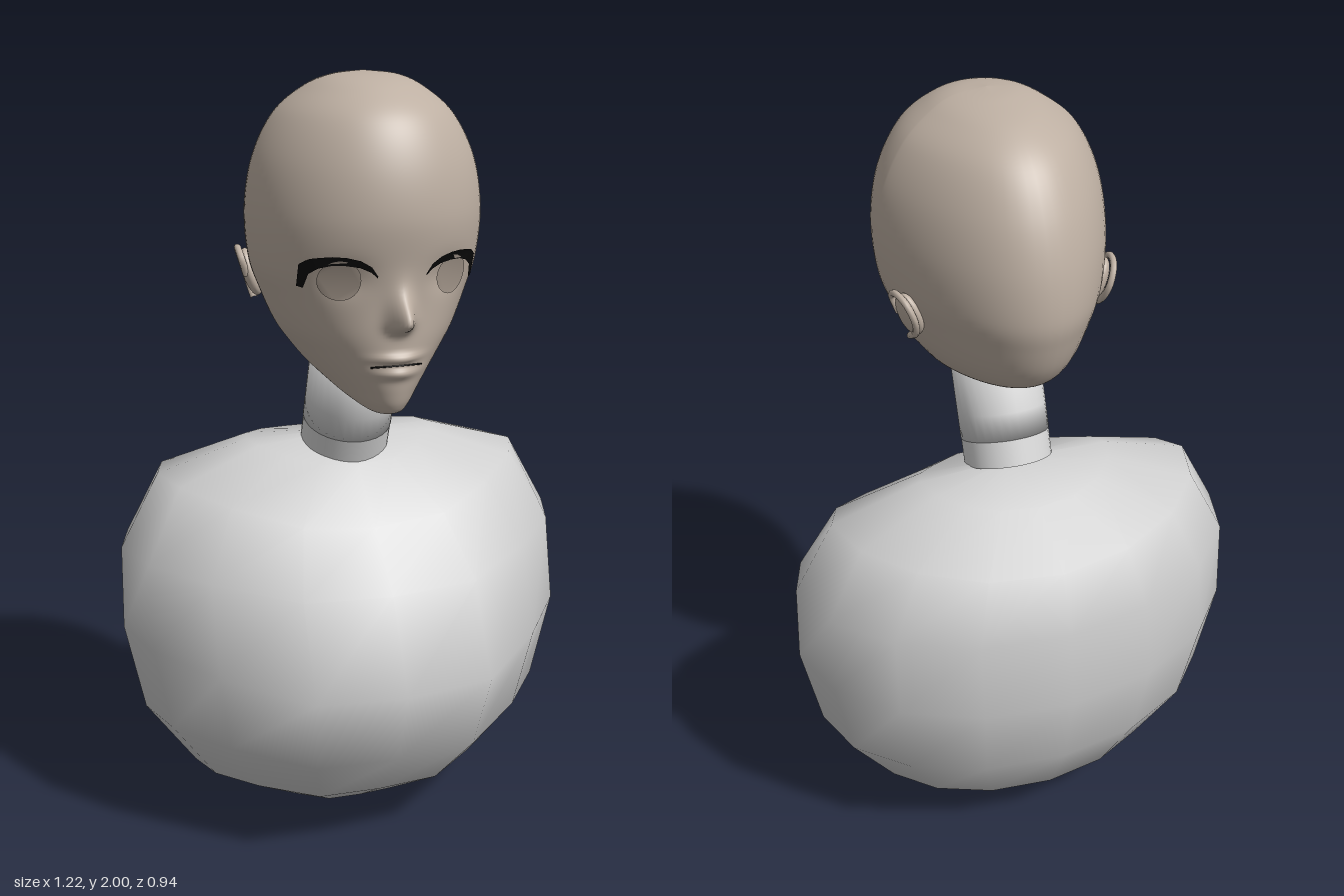
import * as THREE from 'three';

const mat = (name, color, side = THREE.FrontSide) => {
  const m = new THREE.MeshStandardMaterial({ color, side });
  m.name = name;
  return m;
};

function part(parent, name, geometry, material) {
  const m = new THREE.Mesh(geometry, material);
  m.name = name;
  parent.add(m);
  return m;
}

// Closed surface from rings listed top to bottom; fn(row, column) gives a point
function ringSurface(rows, cols, fn) {
  const pos = [], idx = [];
  for (let r = 0; r <= rows; r++) {
    for (let c = 0; c < cols; c++) {
      pos.push(...fn(r, c));
      if (r === rows) continue;
      const n = (c + 1) % cols, a = r * cols + c, b = r * cols + n;
      idx.push(a, a + cols, b, b, a + cols, b + cols);
    }
  }
  const g = new THREE.BufferGeometry();
  g.setAttribute('position', new THREE.Float32BufferAttribute(pos, 3));
  g.setIndex(idx);
  g.computeVertexNormals();
  return g;
}

// Torso rings: y at side, front, back; half width; z at side, front, back
const TORSO = [
  [1.055, 1.055, 1.055, 0, -0.05, -0.05, -0.05],
  [1.05, 1.0, 1.02, 0.26, -0.06, 0.1, -0.24],
  [0.98, 0.87, 0.91, 0.5, -0.06, 0.23, -0.39],
  [0.79, 0.73, 0.75, 0.605, -0.05, 0.36, -0.44],
  [0.57, 0.5, 0.55, 0.61, -0.04, 0.47, -0.475],
  [0.33, 0.3, 0.33, 0.56, -0.04, 0.41, -0.43],
  [0.15, 0.14, 0.15, 0.43, -0.03, 0.27, -0.335],
  [0.045, 0.04, 0.045, 0.235, -0.03, 0.12, -0.2],
  [0, 0, 0, 0, -0.03, -0.03, -0.03],
];
const CHEST = [1, 0.97, 0.63, 0.31, 0]; // flattened chest, by column from the front

function torsoPoint(r, c) {
  const [ys, yf, yb, w, zs, zf, zb] = TORSO[r];
  const a = (c / 16) * Math.PI * 2, k = Math.cos(a);
  const front = c <= 4 || c >= 12;
  const f = front ? CHEST[Math.min(c, 16 - c)] : -k;
  return [
    w * Math.sin(a),
    ys + ((front ? yf : yb) - ys) * k * k,
    zs + ((front ? zf : zb) - zs) * f,
  ];
}

// Head rings: y, half width, front z, back z, z of the widest point
const HEAD = [
  [2.0, 0, 0.12, 0.12, 0.12],
  [1.99, 0.085, 0.21, 0.03, 0.12],
  [1.96, 0.15, 0.285, -0.08, 0.11],
  [1.9, 0.22, 0.36, -0.17, 0.1],
  [1.8, 0.272, 0.405, -0.235, 0.1],
  [1.68, 0.293, 0.42, -0.275, 0.1],
  [1.56, 0.285, 0.402, -0.288, 0.1],
  [1.48, 0.258, 0.39, -0.272, 0.1],
  [1.4, 0.222, 0.388, -0.24, 0.1],
  [1.345, 0.184, 0.385, -0.19, 0.1],
  [1.3, 0.148, 0.38, -0.09, 0.11],
  [1.26, 0.11, 0.372, 0.05, 0.15],
  [1.225, 0.073, 0.36, 0.17, 0.22],
  [1.203, 0.038, 0.34, 0.24, 0.29],
  [1.197, 0, 0.3, 0.3, 0.3],
];
const curveA = new THREE.CatmullRomCurve3(HEAD.map(h => new THREE.Vector3(h[0], h[1], h[2])), false, 'catmullrom');
const curveB = new THREE.CatmullRomCurve3(HEAD.map(h => new THREE.Vector3(h[3], h[4], 0)), false, 'catmullrom');
function headRing(t) {
  const a = curveA.getPoint(t), b = curveB.getPoint(t);
  return { y: a.x, w: Math.max(a.y, 0), zf: a.z, zb: b.x, zc: b.y };
}

// Nose, eye sockets and lips as an offset of the front surface
const bump = (d, s) => Math.exp(-((d / s) ** 2));
function relief(x, y) {
  const ax = Math.abs(x), ny = y - 1.44;
  const nose = 0.068 * bump(ny, ny > 0 ? 0.06 : 0.022) * bump(x, 0.028);
  const socket = -0.014 * bump(ax - 0.13, 0.06) * bump(y - 1.54, 0.04);
  const lips = (0.017 * bump(y - 1.35, 0.011) + 0.013 * bump(y - 1.312, 0.014)) * bump(x, 0.05);
  return nose + socket + lips;
}

const ROWS = 110, COLS = 96;
function headPoint(r, c) {
  const h = headRing(r / ROWS);
  const t = (c / COLS) * Math.PI * 2;
  const a = t - 0.6 * Math.sin(t); // denser columns on the face
  const k = Math.cos(a), x = h.w * Math.sin(a);
  if (k > 0) return [x, h.y, h.zc + (h.zf - h.zc) * k + relief(x, h.y) * Math.min(1, h.w / 0.05)];
  return [x, h.y, h.zc + (h.zb - h.zc) * Math.pow(-k, 1.5)];
}

// Depth of the face at x, y
function faceZ(x, y) {
  let lo = 0, hi = 1;
  for (let i = 0; i < 30; i++) {
    const m = (lo + hi) / 2;
    if (headRing(m).y > y) lo = m; else hi = m;
  }
  const h = headRing(lo);
  return h.zc + (h.zf - h.zc) * Math.sqrt(Math.max(0, 1 - (x / h.w) ** 2)) + relief(x, y);
}

// Thin painted shape laid over the face
function decal(points, lift) {
  const g = new THREE.ShapeGeometry(new THREE.Shape(points.map(p => new THREE.Vector2(...p))));
  const p = g.attributes.position;
  for (let i = 0; i < p.count; i++) p.setZ(i, faceZ(p.getX(i), p.getY(i)) + lift);
  g.computeVertexNormals();
  return g;
}

export function createModel() {
  const root = new THREE.Group();
  root.name = 'bust';
  const grey = mat('bodyGrey', 0xcccccc);
  const neckGrey = mat('neckGrey', 0xd6d6d6);
  const skin = mat('skin', 0xbdafa2);
  const iris = mat('iris', 0xa6998d, THREE.DoubleSide);
  const black = mat('lashBlack', 0x080808, THREE.DoubleSide);

  part(root, 'torso', ringSurface(8, 16, torsoPoint), grey);

  // Neck leans forward; its upper piece is softly rounded in shading
  const neck = new THREE.Group();
  neck.name = 'neck';
  neck.position.set(0, 1.04, -0.02);
  neck.rotation.x = 0.35;
  root.add(neck);
  part(neck, 'lowerNeck', new THREE.CylinderGeometry(0.116, 0.116, 0.1, 32).translate(0, 0.05, 0), neckGrey);
  const profile = [[0, 0.07], [0.117, 0.07], [0.117, 0.14], [0.117, 0.28], [0, 0.28]];
  part(neck, 'upperNeck', new THREE.LatheGeometry(profile.map(p => new THREE.Vector2(...p)), 32), neckGrey);

  const head = new THREE.Group();
  head.name = 'head';
  root.add(head);
  part(head, 'skull', ringSurface(ROWS, COLS, headPoint), skin);

  // Lip line
  const lipPoints = [];
  for (let i = -6; i <= 6; i++) {
    const x = i * 0.0108, y = 1.334 - 0.006 * (i / 6) ** 2;
    lipPoints.push(new THREE.Vector3(x, y, faceZ(x, y)));
  }
  part(head, 'lipLine', new THREE.TubeGeometry(new THREE.CatmullRomCurve3(lipPoints), 24, 0.0025, 5), black);

  // Lash outline: x, lower y, upper y
  const lash = [
    [0.06, 1.548, 1.553], [0.075, 1.562, 1.575], [0.1, 1.573, 1.59], [0.13, 1.577, 1.597],
    [0.16, 1.576, 1.598], [0.185, 1.568, 1.594], [0.203, 1.553, 1.59], [0.21, 1.517, 1.585],
    [0.222, 1.52, 1.575],
  ];
  for (const [side, s] of [['left', 1], ['right', -1]]) {
    const outline = [...lash.map(p => [s * p[0], p[1]]), ...lash.map(p => [s * p[0], p[2]]).reverse()];
    part(head, side + 'Lashes', decal(outline, 0.008), black);

    const disc = [];
    for (let i = 0; i < 32; i++) {
      const a = (i / 32) * Math.PI * 2;
      disc.push([s * (0.14 + 0.046 * Math.cos(a)), 1.54 + 0.048 * Math.sin(a)]);
    }
    part(head, side + 'Iris', decal(disc, 0.006), iris);

    // Ear: shallow bowl with a raised rim, flaring out at the top and back
    const ear = new THREE.Group();
    ear.name = side + 'Ear';
    ear.position.set(s * 0.252, 1.505, -0.005);
    ear.rotation.set(0, s * 0.35, s * -0.3);
    head.add(ear);
    part(ear, 'earBowl', new THREE.SphereGeometry(1, 24, 16).scale(0.022, 0.062, 0.042), skin);
    const rim = [[0.0, 0.032], [0.045, 0.042], [0.067, 0.012], [0.058, -0.03], [0.015, -0.05], [-0.035, -0.03], [-0.066, 0.012]];
    const path = new THREE.CatmullRomCurve3(rim.map(([y, z]) => new THREE.Vector3(s * (0.014 - z * 0.15), y, z)));
    part(ear, 'earRim', new THREE.TubeGeometry(path, 36, 0.009, 8), skin);
  }
  return root;
}
